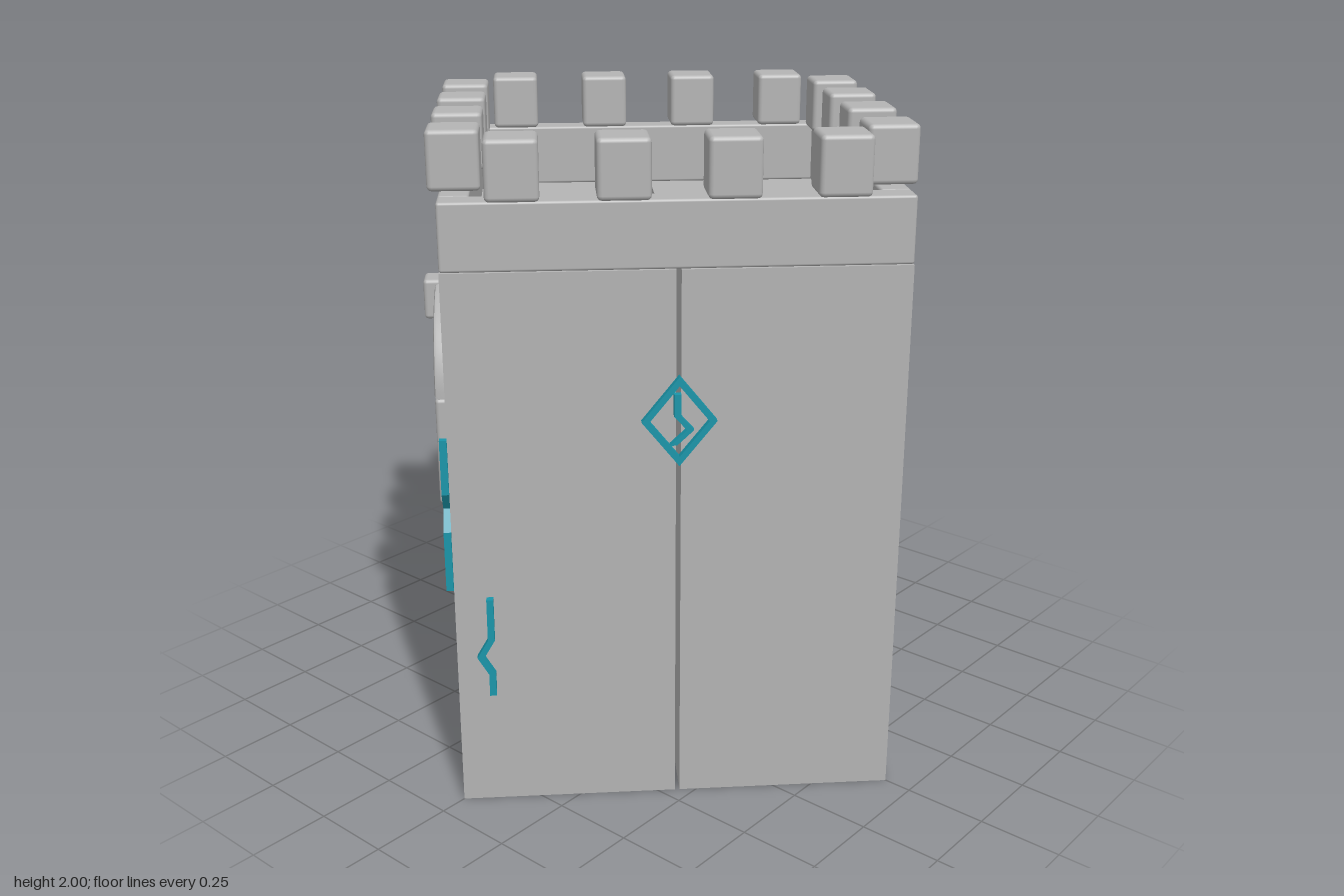
import * as THREE from 'three';
import { toCreasedNormals } from 'three/addons/utils/BufferGeometryUtils.js';
import { RoundedBoxGeometry } from 'three/addons/geometries/RoundedBoxGeometry.js';

const HALF = 0.647;      // half side of the square tower
const GAP = 0.007;       // half of the seam between the quarters
const WALL_TOP = 1.637;
const BEAM = 0.085;      // parapet thickness
const SPRING = 1.16;     // height where the arch starts
const R_IN = 0.228, R_OUT = 0.296;

const stone = new THREE.MeshStandardMaterial({ color: 0xb4b4b4 });
stone.name = 'stone';
const teal = new THREE.MeshStandardMaterial({ color: 0x1a96aa });
teal.name = 'teal rune';

function add(parent, name, geometry, material, x = 0, y = 0, z = 0) {
  const mesh = new THREE.Mesh(geometry, material);
  mesh.name = name;
  mesh.position.set(x, y, z);
  parent.add(mesh);
  return mesh;
}

function roundedBox(parent, name, w, h, d, x, y, z, r = 0.012) {
  return add(parent, name, new RoundedBoxGeometry(w, h, d, 2, r), stone, x, y, z);
}

function polygon(points) {
  return new THREE.Shape(points.map(([x, y]) => new THREE.Vector2(x, y)));
}

function extrude(shape, depth, bevel = 0) {
  const geometry = new THREE.ExtrudeGeometry(shape, {
    depth: depth - 2 * bevel, curveSegments: 20, bevelEnabled: bevel > 0,
    bevelThickness: bevel, bevelSize: bevel, bevelOffset: -bevel, bevelSegments: 2,
  });
  geometry.translate(0, 0, bevel);
  return toCreasedNormals(geometry, 0.5);
}

// Group whose +z points out of one side of the tower
function side(parent, name, angle) {
  const group = new THREE.Group();
  group.name = name;
  group.rotation.y = angle;
  parent.add(group);
  return group;
}

// Wall half with its half of the arched tunnel cut out
function quarterShape(s) {
  const points = [[GAP, 0], [HALF, 0], [HALF, WALL_TOP], [GAP, WALL_TOP]];
  const start = Math.acos(GAP / R_IN);
  for (let i = 0; i <= 16; i++) {
    const a = start * (1 - i / 16);
    points.push([R_IN * Math.cos(a), SPRING + R_IN * Math.sin(a)]);
  }
  points.push([R_IN, 0.8], [GAP, 0.8]);
  return polygon(points.map(([x, y]) => [s * x, y]));
}

// Raised stone frame around the tunnel mouth
function archFrame(face) {
  const ring = new THREE.Shape();
  ring.absarc(0, 0, R_OUT, 0, Math.PI, false);
  ring.absarc(0, 0, R_IN, Math.PI, 0, true);
  ring.closePath();
  add(face, 'archRing', extrude(ring, 0.074, 0.01), stone, 0, SPRING, HALF - 0.02);
  for (const s of [-1, 1]) {
    roundedBox(face, 'archPillar', R_OUT - R_IN, 0.34, 0.074,
      s * (R_IN + R_OUT) / 2, 0.99, HALF + 0.017);
  }
  roundedBox(face, 'keystone', 0.1, 0.125, 0.11, 0, 1.402, HALF + 0.035);
}

// Zigzag stroke, widened sideways from its centre line
function stroke(face, name, points, x, y) {
  const w = 0.01;
  const outline = [
    ...points.map(([px, py]) => [px - w, py]),
    ...points.slice().reverse().map(([px, py]) => [px + w, py]),
  ];
  add(face, name, extrude(polygon(outline), 0.022), teal, x, y, HALF + 0.012);
}

function diamond(face, name, w, h, y) {
  const corners = (k) => [[w * k, 0], [0, h * k], [-w * k, 0], [0, -h * k]];
  const shape = polygon(corners(1));
  shape.holes.push(polygon(corners(1 - 0.022 / w)));
  add(face, name, extrude(shape, 0.022), teal, 0, y, HALF + 0.012);
}

export function createModel() {
  const model = new THREE.Group();
  model.name = 'castleTower';
  const tower = side(model, 'tower', Math.PI / 4);

  const plainFace = side(tower, 'plainFace', 0);
  const archFace = side(tower, 'archFace', -Math.PI / 2);
  const backArchFace = side(tower, 'backArchFace', Math.PI / 2);

  // Four quarter blocks separated by thin seams
  for (const s of [-1, 1]) {
    for (const z of [-HALF, GAP]) {
      add(archFace, 'quarterBlock', extrude(quarterShape(s), HALF - GAP), stone, 0, 0, z);
    }
  }

  archFrame(archFace);
  archFrame(backArchFace);

  // Parapet beams and merlons on all four sides
  for (let i = 0; i < 4; i++) {
    const rim = side(tower, 'parapetSide', i * Math.PI / 2);
    const length = i % 2 === 0 ? 2 * HALF : 2 * (HALF - BEAM);
    const z = HALF - BEAM / 2;
    roundedBox(rim, 'parapetBeam', length, 0.192, BEAM, 0, 1.734, z, 0.008);
    for (const x of [-0.445, -0.148, 0.148, 0.445]) {
      roundedBox(rim, 'merlon', 0.146, 0.168, 0.146, x, 1.916, z, 0.014);
    }
  }

  // Runes on the plain side
  diamond(plainFace, 'largeDiamondRune', 0.106, 0.132, 1.21);
  stroke(plainFace, 'innerRune',
    [[0, 0.08], [0, 0.015], [0.036, -0.025], [-0.012, -0.07]], -0.005, 1.21);
  stroke(plainFace, 'lowZigzagRune',
    [[0, 0.155], [0, 0.025], [-0.032, -0.03], [0, -0.085], [0, -0.155]], -0.545, 0.525);

  // Runes on the front arch side
  diamond(archFace, 'smallDiamondRune', 0.075, 0.083, 1.532);
  stroke(archFace, 'tallZigzagRune',
    [[0, 0.24], [0, 0.07], [-0.042, 0.01], [0, -0.05], [0, -0.24]], 0.477, 0.86);

  return model;
}
